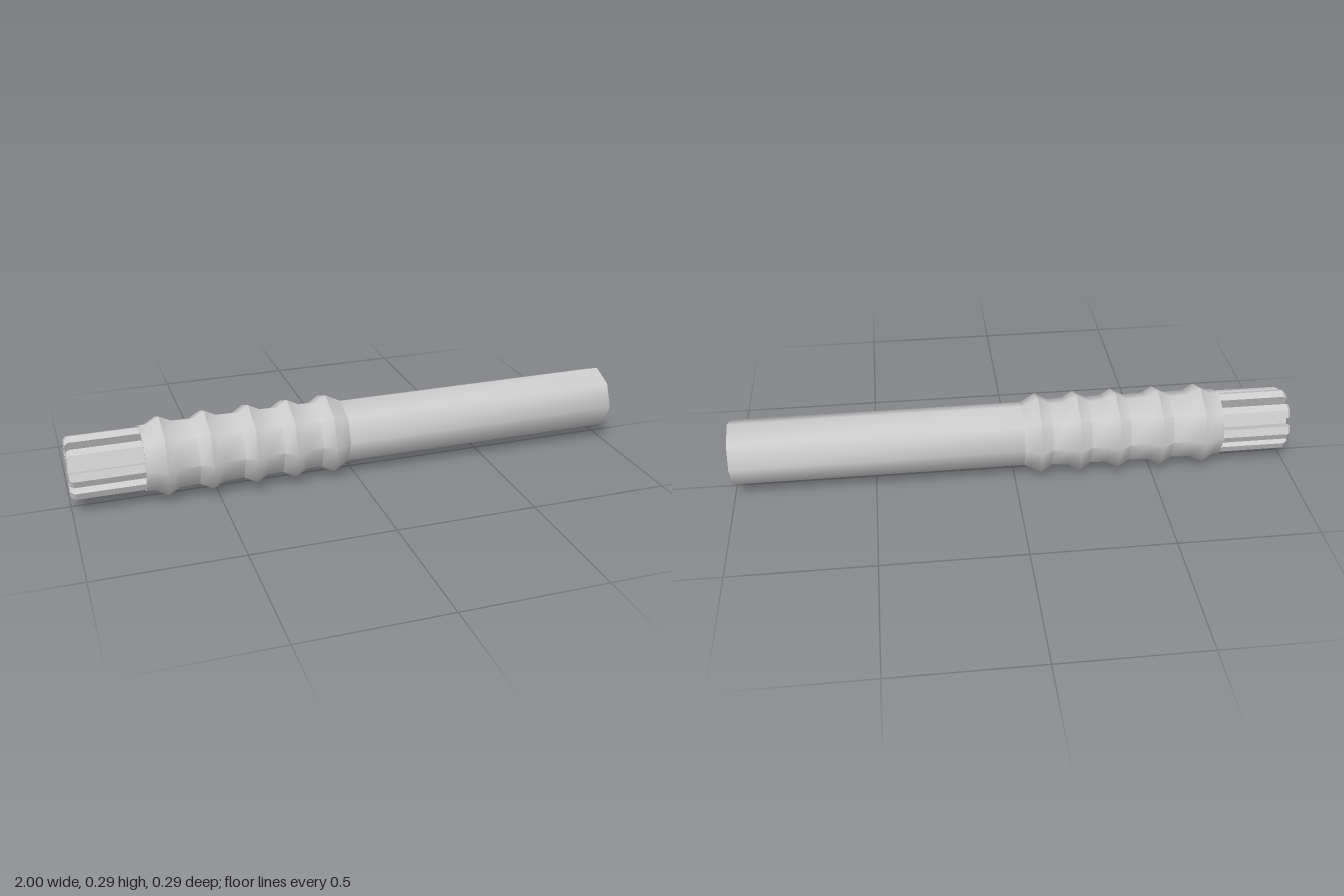
import * as THREE from 'three';
import { toCreasedNormals } from 'three/addons/utils/BufferGeometryUtils.js';

const AXIS_Y = 0.147;

// Eight-sided turned part lying along x; profile is [x, radius] pairs
function turned(name, profile, material) {
  const points = profile.map(([x, r]) => new THREE.Vector2(r, x));
  const geometry = toCreasedNormals(new THREE.LatheGeometry(points, 8), 0.9);
  geometry.rotateZ(-Math.PI / 2);
  const mesh = new THREE.Mesh(geometry, material);
  mesh.name = name;
  return mesh;
}

// Octagon with a slot cut into the middle of every side
function finnedShape() {
  const points = [];
  const fin = [[0.053, -0.006], [0.104, -0.026], [0.115, 0], [0.104, 0.026], [0.053, 0.006]];
  for (let i = 0; i < 8; i++) {
    const a = (i * Math.PI) / 4;
    for (const [u, v] of fin) {
      points.push(new THREE.Vector2(u * Math.cos(a) - v * Math.sin(a), u * Math.sin(a) + v * Math.cos(a)));
    }
  }
  return new THREE.Shape(points);
}

export function createModel() {
  const group = new THREE.Group();
  const body = new THREE.Group();
  body.name = 'handle';
  body.position.y = AXIS_Y;
  group.add(body);
  const material = new THREE.MeshStandardMaterial({ color: 0xcccccc });

  // Plain tube with a shallow recess in its end
  body.add(turned('tube', [
    [-0.06, 0.116], [1, 0.116], [1, 0.1], [0.98, 0.1], [0.98, 0],
  ], material));

  // Grip with five raised rings
  const grip = [[-0.735, 0], [-0.735, 0.113], [-0.75, 0.113], [-0.75, 0.121]];
  for (const x of [-0.68, -0.525, -0.37, -0.23, -0.09]) {
    grip.push([x - 0.042, 0.122], [x, 0.146], [x + 0.042, 0.124]);
  }
  grip.push([-0.03, 0.115]);
  body.add(turned('ribbedGrip', grip, material));

  // Finned pommel, chamfered at its free end
  const geometry = new THREE.ExtrudeGeometry(finnedShape(), { depth: 0.26, steps: 2, bevelEnabled: false });
  const p = geometry.attributes.position;
  for (let i = 0; i < p.count; i++) {
    const z = p.getZ(i);
    if (z < 0.01) {
      if (Math.hypot(p.getX(i), p.getY(i)) > 0.08) p.setXY(i, p.getX(i) * 0.9, p.getY(i) * 0.9);
    } else if (z < 0.2) p.setZ(i, 0.012);
  }
  geometry.computeVertexNormals();
  geometry.rotateY(Math.PI / 2);
  const pommel = new THREE.Mesh(geometry, material);
  pommel.name = 'finnedPommel';
  pommel.position.x = -1;
  body.add(pommel);

  return group;
}
